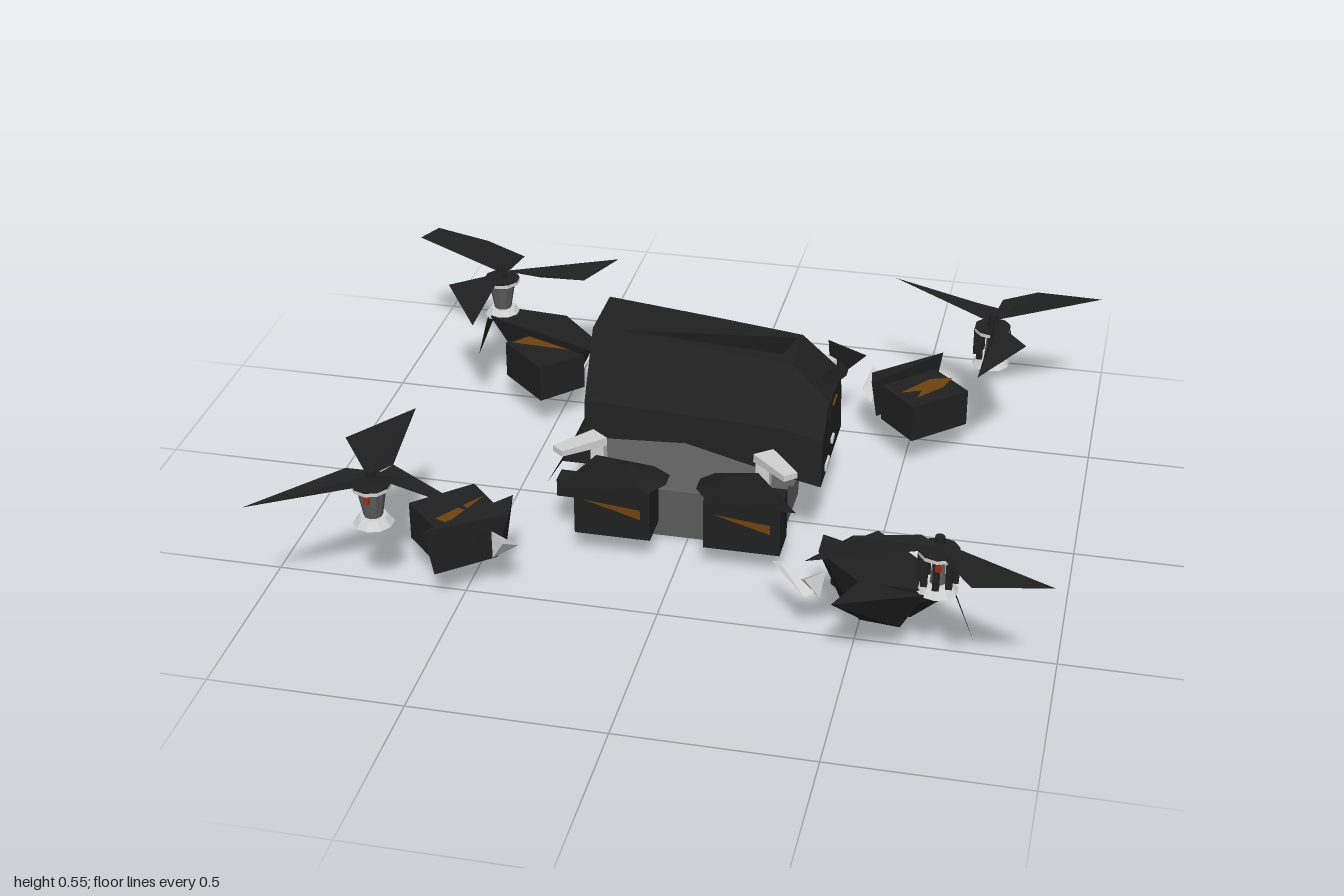
import * as THREE from 'three';
import { ConvexGeometry } from 'three/addons/geometries/ConvexGeometry.js';

const material = (name, color) => new THREE.MeshStandardMaterial({ name, color, flatShading: true, side: THREE.DoubleSide });

export function createModel() {
  const model = new THREE.Group();
  model.name = 'brokenQuadcopter';
  const dark = material('charcoal', 0x202020);
  const grey = material('grey', 0x5e5e5e);
  const light = material('lightMetal', 0xd0d0d0);
  const orange = material('burntOrange', 0x6e420e);
  const red = material('red', 0x9a2a10);

  const add = (name, geometry, mat, parent = model) => {
    const mesh = new THREE.Mesh(geometry, mat);
    mesh.name = name;
    parent.add(mesh);
    return mesh;
  };
  // Convex solid around corner points
  const hull = (name, pts, mat, parent) =>
    add(name, new ConvexGeometry(pts.map(p => new THREE.Vector3(...p))), mat, parent);
  // Thin sheets, each fanned out from its first corner
  const sheets = (name, polygons, mat, parent) => {
    const pos = [];
    for (const p of polygons)
      for (let i = 1; i < p.length - 1; i++) pos.push(...p[0], ...p[i], ...p[i + 1]);
    const g = new THREE.BufferGeometry();
    g.setAttribute('position', new THREE.Float32BufferAttribute(pos, 3));
    g.computeVertexNormals();
    return add(name, g, mat, parent);
  };
  const box = (name, size, at, mat, parent) => {
    const mesh = add(name, new THREE.BoxGeometry(...size), mat, parent);
    mesh.position.set(...at);
    return mesh;
  };

  // Body shell: open underneath, sections from the tall end to the low end
  const section = (x, top, zf, zb, mid, low, wide) => [
    [x, low, wide], [x, mid, wide - 0.015], [x, top, zf], [x, top, zb], [x, mid, -wide + 0.015], [x, low, -wide],
  ];
  const sections = [
    section(-0.27, 0.55, 0.05, -0.13, 0.39, 0.29, 0.165),
    section(0.0, 0.525, 0.045, -0.125, 0.38, 0.305, 0.165),
    section(0.25, 0.5, 0.04, -0.12, 0.37, 0.24, 0.165),
    section(0.352, 0.41, 0.06, -0.12, 0.34, 0.215, 0.16),
  ];
  const faces = [sections[0], sections[3]];
  for (let s = 0; s < 3; s++)
    for (let k = 0; k < 5; k++) {
      if (k === 2 && s < 2) continue;
      faces.push([sections[s][k], sections[s + 1][k], sections[s + 1][k + 1], sections[s][k + 1]]);
    }
  // Roof with a long torn slot
  const slot = [[-0.2, 0.543, 0.035], [0.24, 0.501, -0.1], [0.22, 0.503, 0.0]];
  const [rearF, rearB] = [sections[0][2], sections[0][3]];
  const [noseF, noseB] = [sections[2][2], sections[2][3]];
  faces.push([slot[0], rearF, rearB], [slot[0], rearB, noseB], [slot[0], noseB, slot[1]],
    [slot[1], noseB, noseF], [slot[1], noseF, slot[2]], [slot[2], noseF, rearF], [slot[2], rearF, slot[0]]);
  sheets('bodyShell', faces, dark);

  // Tail skirt with corner flares, antenna and nose sensor
  sheets('tailSkirt', [[[-0.27, 0.33, 0.155], [-0.33, 0.21, 0.17], [-0.33, 0.21, -0.165], [-0.27, 0.33, -0.155]]], dark);
  for (const s of [1, -1])
    sheets('tailFlare', [[[-0.27, 0.33, s * 0.155], [-0.345, 0.2, s * 0.26], [-0.33, 0.21, s * 0.165]],
      [[-0.27, 0.33, s * 0.155], [-0.33, 0.21, s * 0.165], [-0.23, 0.21, s * 0.165], [-0.22, 0.3, s * 0.165]]], dark);
  box('antenna', [0.08, 0.03, 0.03], [0.345, 0.44, -0.02], dark).rotation.z = 0.75;
  box('sensorFrame', [0.02, 0.05, 0.12], [0.346, 0.385, 0], dark);
  box('sensorLens', [0.006, 0.006, 0.05], [0.357, 0.385, 0], orange);
  box('noseTag', [0.008, 0.02, 0.05], [0.354, 0.24, 0.08], light);
  box('noseTag', [0.008, 0.015, 0.03], [0.354, 0.27, 0], light);

  // Deck and tray
  sheets('deck', [[[-0.26, 0.2, 0.145], [0.28, 0.2, 0.145], [0.28, 0.201, -0.145], [-0.26, 0.201, -0.145]]], grey);
  const tray = [];
  for (const x of [-0.23, 0.25])
    tray.push([x, 0.14, 0.15], [x, 0.14, -0.15], [x * 0.98, 0.015, 0.075], [x * 0.98, 0.005, -0.13]);
  hull('tray', tray, grey);
  hull('trayFrontPlate', [-0.23, 0.25].flatMap(x =>
    [[x, 0.15, 0.155], [x, 0.15, 0.145], [x, 0, 0.14], [x, 0, 0.13]]), grey);

  for (const sx of [1, -1]) for (const sz of [1, -1]) {
    const at = (x, y, z) => [sx * x, y, sz * z];
    const intact = sx === sz;       // these two corners keep the full arm cover
    const coils = sx > 0;           // the other two motors lost their coils

    // Pod beside the body
    const pod = new THREE.Group();
    pod.name = 'sidePod';
    model.add(pod);
    box('podBox', [0.2, 0.14, 0.1], at(0.17, 0.14, 0.23), dark, pod);
    hull('podCover', [at(0.04, 0.21, 0.175), at(0.22, 0.21, 0.175), at(0.04, 0.21, 0.225), at(0.08, 0.21, 0.28),
      at(0.31, 0.205, 0.28), at(0.2, 0.24, 0.18), at(0.08, 0.235, 0.18), at(0.21, 0.305, 0.27), at(0.13, 0.285, 0.27)], dark, pod);
    if (sx < 0) box('podStub', [0.06, 0.05, 0.05], at(0.3, 0.165, 0.2), dark, pod);
    sheets('podStripe', [[[sx * 0.17 - 0.075, 0.175, sz * 0.283], [sx * 0.17 + 0.075, 0.16, sz * 0.283],
      [sx * 0.17 + 0.075, 0.132, sz * 0.283]]], orange, pod);
    if (sx > 0 && sz < 0) box('podLight', [0.006, 0.015, 0.015], at(0.272, 0.11, 0.23), red, pod);

    // Broken arm stub: tapered plate on a stem
    hull('armStub', [at(0.19, 0.315, 0.235), at(0.235, 0.315, 0.2), at(0.19, 0.338, 0.235), at(0.235, 0.338, 0.2),
      at(0.285, 0.322, 0.325), at(0.315, 0.322, 0.3), at(0.285, 0.338, 0.325), at(0.315, 0.338, 0.3)], light);
    box('armStem', [0.035, 0.08, 0.035], at(0.215, 0.28, 0.225), light);

    // Outer pod on the arm
    const outer = new THREE.Group();
    outer.name = 'outerPod';
    model.add(outer);
    hull('outerPodBox', [0.1, 0.205].flatMap(y => [at(0.425, y, 0.42), at(0.525, y, 0.315),
      at(0.66, y, 0.44), at(0.555, y, 0.545)]), dark, outer);
    hull('armWedge', intact
      ? [at(0.4, 0.23, 0.4), at(0.4, 0.225, 0.47), at(0.52, 0.23, 0.59), at(0.74, 0.235, 0.6),
        at(0.73, 0.235, 0.53), at(0.46, 0.1, 0.48), at(0.52, 0.1, 0.56), at(0.64, 0.1, 0.52)]
      : [at(0.4, 0.23, 0.385), at(0.39, 0.22, 0.46), at(0.57, 0.23, 0.6), at(0.53, 0.23, 0.545),
        at(0.41, 0.1, 0.43), at(0.42, 0.1, 0.48), at(0.55, 0.1, 0.59)], dark, outer);
    hull('armBracket', [at(0.38, 0.19, 0.55), at(0.425, 0.19, 0.5), at(0.36, 0.15, 0.49), at(0.39, 0.125, 0.46),
      at(0.415, 0.13, 0.53)], sx < 0 && sz < 0 ? grey : light, outer);

    // Motor: base, then an open ring of coils or a bare cone
    const motor = new THREE.Group();
    motor.name = 'motor';
    motor.position.set(sx * 0.705, 0, sz * 0.575);
    model.add(motor);
    const drum = (name, r1, r2, h, y, mat) =>
      add(name, new THREE.CylinderGeometry(r1, r2, h, 10), mat, motor).position.set(0, y, 0);
    drum('motorBase', 0.035, 0.052, 0.022, 0.238, light);
    drum('propellerHub', 0.012, 0.016, 0.04, 0.357, dark);
    drum('motorCap', 0.05, 0.05, 0.01, 0.333, light);
    drum('motorLid', 0.05, 0.05, 0.004, 0.34, dark);
    if (coils) {
      drum('motorCore', 0.014, 0.02, 0.09, 0.285, grey);
      for (let i = 0; i < 8; i++) {
        const a = i * Math.PI / 4;
        box('coil', [0.016, 0.075, 0.016], [0.042 * Math.cos(a), 0.291, 0.042 * Math.sin(a)], dark, motor);
      }
    } else {
      drum('motorCone', 0.038, 0.024, 0.08, 0.288, grey);
    }
    box('motorLight', [0.014, 0.015, 0.01], [0.005, 0.32, sz * 0.053], red, motor);
  }

  // Orange marks on three of the outer pods
  const marks = [
    [[-0.64, -0.44], [-0.6, -0.49], [-0.45, -0.43]],
    [[-0.57, 0.5], [-0.535, 0.515], [-0.48, 0.365]],
    [[0.55, -0.48], [0.61, -0.5], [0.59, -0.44], [0.53, -0.37], [0.535, -0.41], [0.48, -0.385]],
  ];
  sheets('outerPodMarks', marks.map(m => m.map(([x, z]) => [x, 0.208, z])), orange);
  sheets('innerPodMark', [[[-0.437, 0.175, 0.401], [-0.5, 0.145, 0.335], [-0.46, 0.12, 0.377]]], orange);

  // Propeller blades as [x, z] outlines, pitched slightly along each outline
  const blades = {
    backLeft: [[[-0.69, -0.56], [-0.66, -0.66], [-0.8, -0.76], [-0.96, -0.79], [-1, -0.74]],
      [[-0.7, -0.58], [-0.39, -0.7], [-0.46, -0.57], [-0.58, -0.54]],
      [[-0.7, -0.57], [-0.82, -0.44], [-0.69, -0.24], [-0.69, -0.45]]],
    frontLeft: [[[-0.96, 0.78], [-0.77, 0.57], [-0.68, 0.55], [-0.61, 0.59]],
      [[-0.7, 0.58], [-0.66, 0.53], [-0.39, 0.69]],
      [[-0.71, 0.58], [-0.82, 0.43], [-0.7, 0.23], [-0.66, 0.53]]],
    backRight: [[[0.7, -0.57], [0.72, -0.68], [0.81, -0.77], [0.99, -0.74]],
      [[0.7, -0.56], [0.41, -0.75], [0.65, -0.67], [0.73, -0.62]],
      [[0.71, -0.57], [0.81, -0.42], [0.7, -0.24], [0.72, -0.45]]],
    frontRight: [[[0.7, 0.57], [0.7, 0.63], [0.8, 0.75], [0.99, 0.73]],
      [[0.72, 0.6], [0.41, 0.74], [0.5, 0.59], [0.66, 0.57]]],
  };
  for (const [corner, outlines] of Object.entries(blades))
    sheets(corner + 'Propeller', outlines.map(o => o.map(([x, z], i) => [x, 0.36 + 0.012 * (i % 2), z])), dark);

  // Drooping broken blades, loose cover and the torn fin
  sheets('droopingBlade', [[[-0.79, 0.14, -0.68], [-0.74, 0.23, -0.6], [-0.76, 0.22, -0.72], [-0.79, 0.11, -0.74], [-0.82, 0.02, -0.68]]], dark);
  sheets('bentBlade', [[[0.73, 0.235, 0.53], [0.75, 0.235, 0.6], [0.8, 0.11, 0.6]]], dark);
  hull('looseCover', [[0.47, 0.235, 0.705], [0.52, 0.235, 0.59], [0.68, 0.235, 0.62], [0.53, 0.1, 0.56], [0.62, 0.1, 0.57]], dark);
  sheets('tornFin', [[[0.28, 0.36, -0.365], [0.285, 0.21, -0.4], [0.36, 0.22, -0.555]]], dark);
  hull('looseBracket', [[0.28, 0.16, 0.44], [0.3, 0.17, 0.45], [0.38, 0.14, 0.55], [0.42, 0.15, 0.52], [0.38, 0.12, 0.51]], light);
  return model;
}
